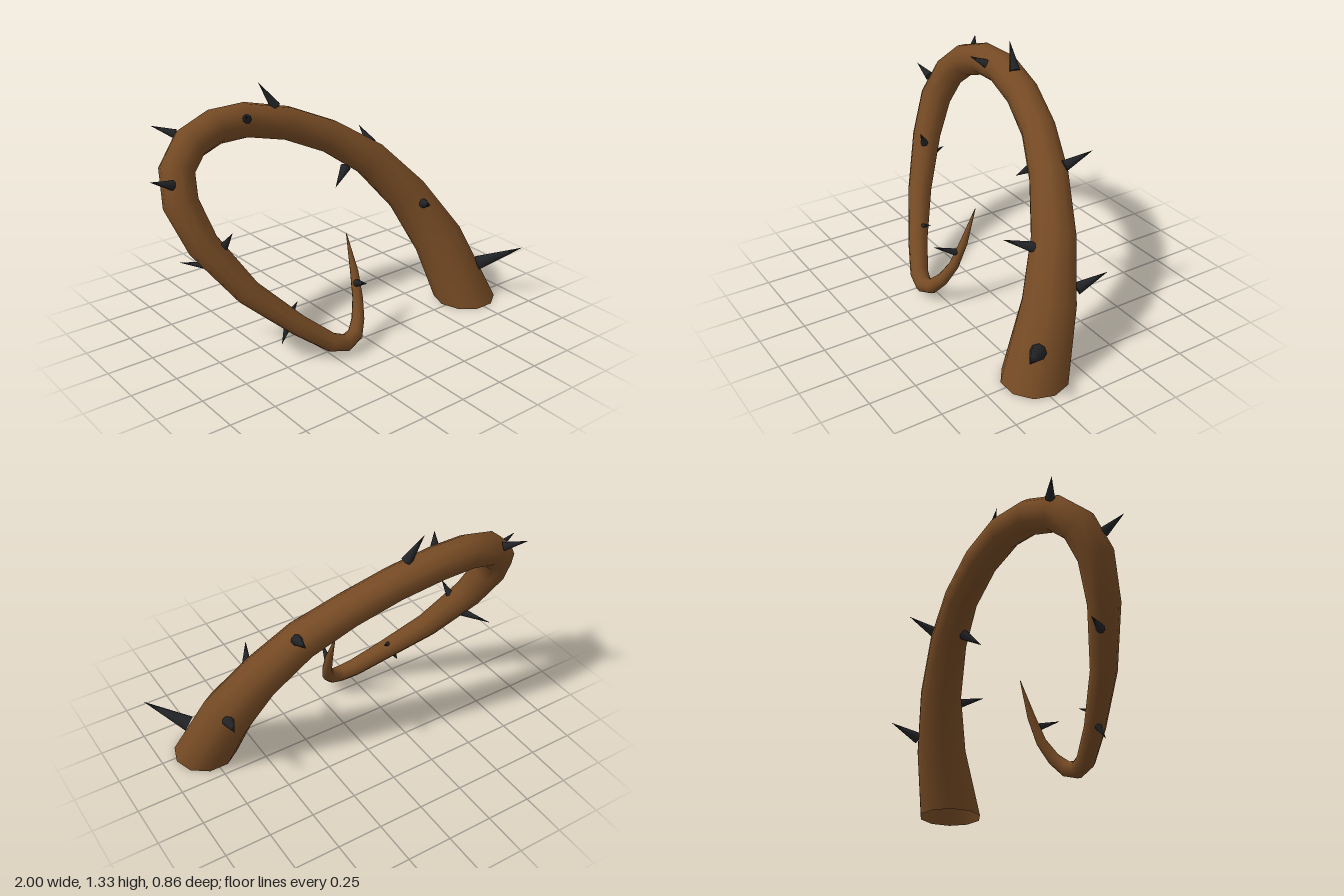
import * as THREE from 'three';

const V = (x, y, z) => new THREE.Vector3(x, y, z);
const SIDES = 10;

// Horn centreline from base to tip: x, y, z, radius
const SPINE = [
  [0.755, 0, 0.225, 0.173], [0.665, 0.335, 0.083, 0.14], [0.525, 0.605, -0.035, 0.116],
  [0.335, 0.83, -0.135, 0.102], [0.12, 0.98, -0.22, 0.092], [-0.115, 1.085, -0.278, 0.09],
  [-0.345, 1.14, -0.31, 0.091], [-0.535, 1.14, -0.307, 0.091], [-0.695, 1.09, -0.283, 0.091],
  [-0.80, 0.99, -0.235, 0.091], [-0.83, 0.845, -0.16, 0.09], [-0.775, 0.645, -0.06, 0.081],
  [-0.615, 0.395, 0.085, 0.067], [-0.41, 0.2, 0.22, 0.055], [-0.262, 0.085, 0.298, 0.05],
  [-0.178, 0.062, 0.318, 0.046], [-0.11, 0.082, 0.305, 0.041], [-0.06, 0.14, 0.265, 0.034],
  [-0.023, 0.23, 0.215, 0.028], [-0.006, 0.36, 0.163, 0.022], [-0.002, 0.55, 0.09, 0.002],
];

// Thorns: base centre, tip, base radius
const THORNS = [
  [[0.82, 0.2, 0.255], [0.995, 0.31, 0.428], 0.042],
  [[0.72, 0.4, -0.04], [0.76, 0.465, -0.197], 0.032],
  [[0.545, 0.577, 0.07], [0.465, 0.635, 0.227], 0.032],
  [[0.39, 0.89, -0.19], [0.422, 0.95, -0.34], 0.029],
  [[0.18, 0.81, -0.15], [0.08, 0.725, -0.11], 0.029],
  [[-0.185, 1.19, -0.277], [-0.27, 1.325, -0.3], 0.029],
  [[-0.39, 1.172, -0.23], [-0.44, 1.215, -0.155], 0.025],
  [[-0.73, 1.13, -0.355], [-0.825, 1.172, -0.43], 0.025],
  [[-0.875, 0.957, -0.147], [-1, 1.005, -0.135], 0.026],
  [[-0.695, 0.635, 0], [-0.665, 0.715, 0.04], 0.022],
  [[-0.74, 0.527, -0.05], [-0.83, 0.51, -0.207], 0.024],
  [[-0.435, 0.267, 0.19], [-0.367, 0.295, 0.155], 0.018],
  [[-0.46, 0.185, 0.19], [-0.5, 0.11, 0.2], 0.018],
  [[-0.02, 0.31, 0.2], [-0.05, 0.365, 0.325], 0.02],
];

// Tapered tube with rings carried along the spine without twisting
function hornGeometry() {
  const pts = SPINE.map(([x, y, z]) => V(x, y, z));
  const pos = [], index = [];
  let tangent = V(0, 1, 0);
  const normal = V(1, 0, 0);
  pts.forEach((p, i) => {
    if (i > 0) {
      const next = pts[Math.min(i + 1, pts.length - 1)];
      const into = p.clone().sub(pts[i - 1]).normalize();
      const out = next.clone().sub(p).normalize();
      const t = into.add(out).normalize();
      normal.applyQuaternion(new THREE.Quaternion().setFromUnitVectors(tangent, t));
      tangent = t;
    }
    const binormal = tangent.clone().cross(normal);
    for (let j = 0; j < SIDES; j++) {
      const a = (j / SIDES) * Math.PI * 2, r = SPINE[i][3];
      const v = p.clone().addScaledVector(normal, r * Math.cos(a)).addScaledVector(binormal, r * Math.sin(a));
      pos.push(v.x, v.y, v.z);
      if (i < pts.length - 1) {
        const k = (j + 1) % SIDES, lo = i * SIDES, hi = lo + SIDES;
        index.push(lo + j, lo + k, hi + k, lo + j, hi + k, hi + j);
      }
    }
  });
  const g = new THREE.BufferGeometry();
  g.setAttribute('position', new THREE.Float32BufferAttribute(pos, 3));
  g.setIndex(index);
  g.computeVertexNormals();
  return g;
}

export function createModel() {
  const brown = new THREE.MeshStandardMaterial({ color: 0x754a24, side: THREE.DoubleSide });
  brown.name = 'horn brown';
  const black = new THREE.MeshStandardMaterial({ color: 0x222326 });
  black.name = 'thorn black';

  const model = new THREE.Group();
  model.name = 'thornedHorn';

  // Curled horn, open at the base
  const horn = new THREE.Mesh(hornGeometry(), brown);
  horn.name = 'horn';
  model.add(horn);

  // Thorns scattered along the horn
  const thorns = new THREE.Group();
  thorns.name = 'thorns';
  for (const [base, tip, radius] of THORNS) {
    const a = V(...base), b = V(...tip), dir = b.clone().sub(a);
    const thorn = new THREE.Mesh(new THREE.ConeGeometry(radius, dir.length(), 8), black);
    thorn.name = 'thorn';
    thorn.position.copy(a).add(b).multiplyScalar(0.5);
    thorn.quaternion.setFromUnitVectors(V(0, 1, 0), dir.normalize());
    thorns.add(thorn);
  }
  model.add(thorns);
  return model;
}
